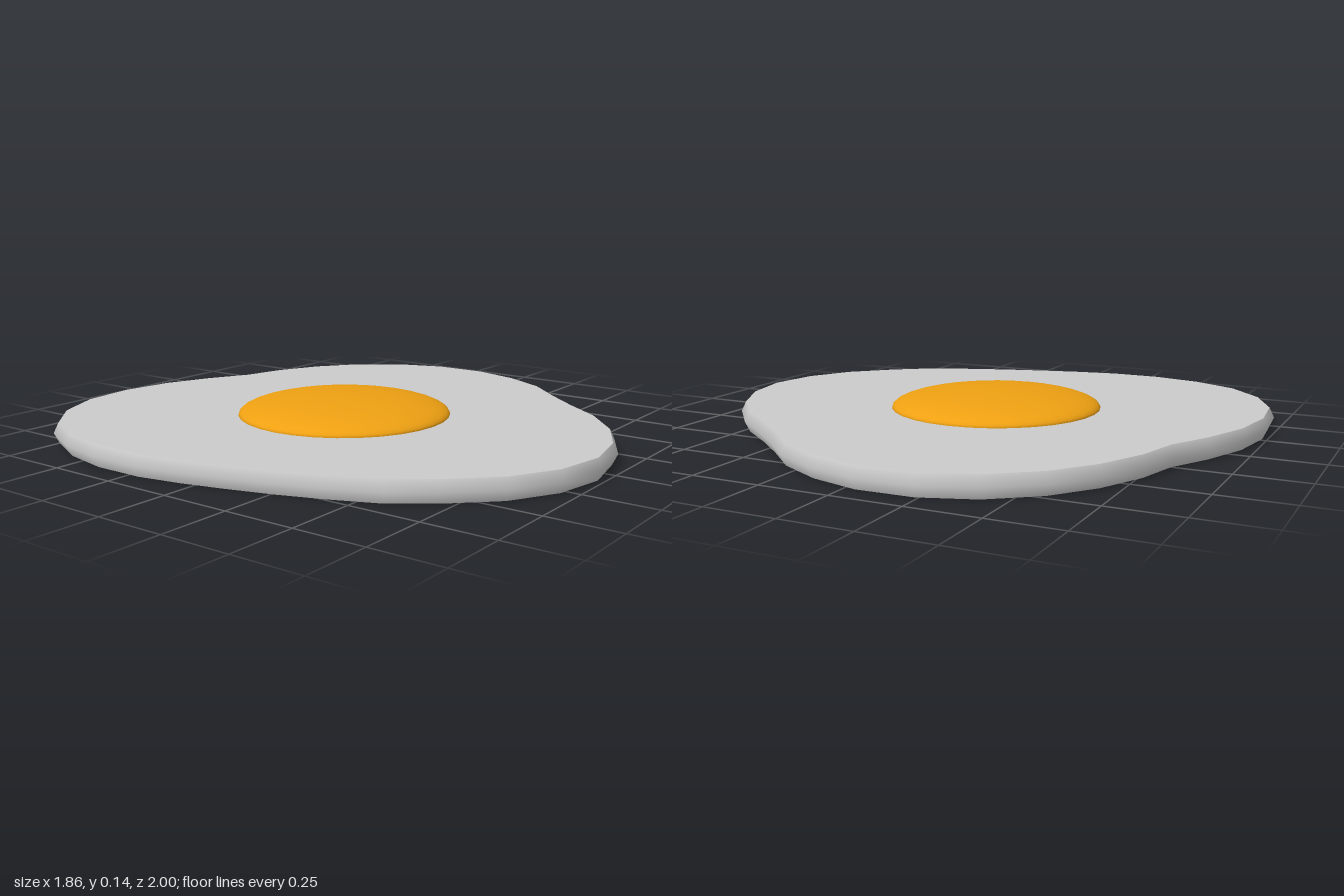
import * as THREE from 'three';

// Outline of the egg white as x, z pairs, clockwise seen from above
const OUTLINE = [
  -0.27, -1.0, -0.07, -0.97, 0.11, -0.9, 0.26, -0.82, 0.42, -0.78, 0.59, -0.7,
  0.74, -0.585, 0.86, -0.425, 0.925, -0.24, 0.93, -0.035, 0.88, 0.15, 0.79, 0.32,
  0.665, 0.455, 0.555, 0.585, 0.445, 0.73, 0.29, 0.865, 0.115, 0.955, -0.085, 0.995,
  -0.28, 0.96, -0.45, 0.865, -0.59, 0.72, -0.69, 0.585, -0.76, 0.42, -0.815, 0.265,
  -0.86, 0.11, -0.9, -0.045, -0.93, -0.21, -0.93, -0.4, -0.89, -0.585, -0.805, -0.76,
  -0.66, -0.895, -0.475, -0.98,
];
const TOP = 0.075;
const INSET = 0.018;

// Outline moved inward by a distance
function insetOutline(distance) {
  const points = [];
  for (let i = 0; i < OUTLINE.length; i += 2) {
    points.push(new THREE.Vector2(OUTLINE[i], OUTLINE[i + 1]));
  }
  const n = points.length;
  return points.map((p, i) => {
    const t = points[(i + 1) % n].clone().sub(points[(i + n - 1) % n]).normalize();
    return new THREE.Vector2(p.x - t.y * distance, p.y + t.x * distance);
  });
}

// Bevelled rim: three stacked rings with smooth normals
function rimGeometry() {
  const rings = [[INSET, 0], [0, 0.038], [INSET, TOP]];
  const n = OUTLINE.length / 2;
  const positions = [];
  const index = [];
  rings.forEach(([inset, y], r) => {
    insetOutline(inset).forEach((p, i) => {
      positions.push(p.x, y, p.y);
      if (r === 0) return;
      const j = (i + 1) % n;
      const lo = (r - 1) * n;
      const hi = r * n;
      index.push(lo + i, hi + i, hi + j, lo + i, hi + j, lo + j);
    });
  });
  const geometry = new THREE.BufferGeometry();
  geometry.setAttribute('position', new THREE.Float32BufferAttribute(positions, 3));
  geometry.setIndex(index);
  geometry.computeVertexNormals();
  return geometry;
}

// Flat cap facing up (side = 1) or down (side = -1)
function capGeometry(side, y) {
  const points = insetOutline(INSET).map((p) => new THREE.Vector2(p.x, -side * p.y));
  return new THREE.ShapeGeometry(new THREE.Shape(points))
    .rotateX((-side * Math.PI) / 2)
    .translate(0, y, 0);
}

export function createModel() {
  const model = new THREE.Group();
  model.name = 'friedEgg';
  const whiteMaterial = new THREE.MeshStandardMaterial({ color: 0xcccccc });
  const yolkMaterial = new THREE.MeshStandardMaterial({ color: 0xeea012 });

  const add = (parent, name, geometry, material) => {
    const mesh = new THREE.Mesh(geometry, material);
    mesh.name = name;
    parent.add(mesh);
    return mesh;
  };

  // Egg white
  const white = new THREE.Group();
  white.name = 'eggWhite';
  model.add(white);
  add(white, 'eggWhiteRim', rimGeometry(), whiteMaterial);
  add(white, 'eggWhiteTop', capGeometry(1, TOP), whiteMaterial);
  add(white, 'eggWhiteBottom', capGeometry(-1, 0), whiteMaterial);

  // Yolk: flattened half sphere resting on the white
  const dome = new THREE.SphereGeometry(0.387, 32, 12, 0, Math.PI * 2, 0, Math.PI / 2);
  dome.scale(1, 0.065 / 0.387, 1);
  const yolk = add(model, 'yolk', dome, yolkMaterial);
  yolk.position.set(-0.06, TOP, -0.04);

  return model;
}
